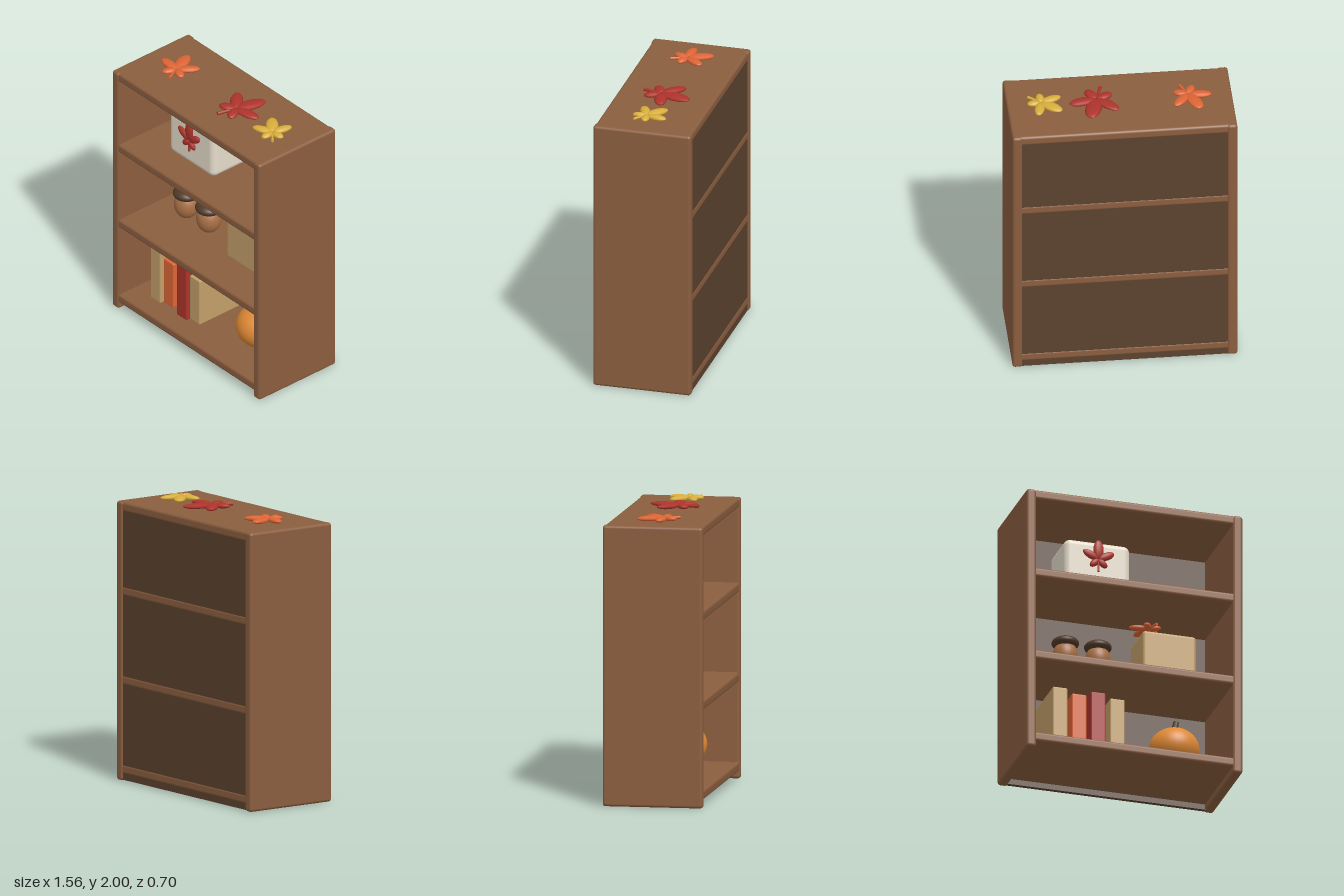
import * as THREE from 'three';
import { RoundedBoxGeometry } from 'three/addons/geometries/RoundedBoxGeometry.js';

const mat = (name, color) => {
  const m = new THREE.MeshStandardMaterial({ color });
  m.name = name;
  return m;
};

export function createModel() {
  const wood = mat('wood', 0x8b5e3f);
  const backWood = mat('dark back wood', 0x5c432f);
  const cream = mat('cream', 0xe6ddcb);
  const red = mat('leaf red', 0xad342c);
  const orange = mat('leaf orange', 0xdd6535);
  const gold = mat('leaf gold', 0xd9ae3c);
  const tan = mat('tan', 0xc4a06a);
  const pumpkinOrange = mat('pumpkin orange', 0xe08a35);
  const nutBrown = mat('acorn brown', 0xa87046);
  const darkBrown = mat('cap brown', 0x4f3a2a);

  const model = new THREE.Group();
  model.name = 'autumnBookcase';

  const add = (parent, name, geometry, material, x = 0, y = 0, z = 0) => {
    const mesh = new THREE.Mesh(geometry, material);
    mesh.name = name;
    mesh.position.set(x, y, z);
    parent.add(mesh);
    return mesh;
  };

  // Rounded box given by its limits on each axis
  const block = (name, material, [x0, x1], [y0, y1], [z0, z1], r) =>
    add(model, name, new RoundedBoxGeometry(x1 - x0, y1 - y0, z1 - z0, 4, r), material,
      (x0 + x1) / 2, (y0 + y1) / 2, (z0 + z1) / 2);

  const ellipsoid = (parent, name, material, [rx, ry, rz], [x, y, z], w = 28, h = 18) => {
    const mesh = add(parent, name, new THREE.SphereGeometry(1, w, h), material, x, y, z);
    mesh.scale.set(rx, ry, rz);
    return mesh;
  };

  // Cabinet: sides, back panel and four shelves
  for (const s of [-1, 1]) {
    block(s < 0 ? 'rightSide' : 'leftSide', wood,
      [s * 0.745 - 0.035, s * 0.745 + 0.035], [0.003, 1.96], [-0.35, 0.35], 0.02);
  }
  add(model, 'backPanel', new THREE.BoxGeometry(1.46, 1.93, 0.03), backWood, 0, 0.975, -0.325);
  for (const y of [0.05, 0.675, 1.3, 1.89]) {
    block('shelf', wood, [-0.745, 0.745], [y, y + 0.07], [-0.343, 0.343], 0.02);
  }

  // Leaf: five flattened leaflets and a stem, lying in the xy plane with its tip at +y
  const leaflets = [
    [0, 0.226, 0.057],
    [62, 0.195, 0.045], [-62, 0.195, 0.045],
    [133, 0.125, 0.038], [-133, 0.125, 0.038],
  ];
  const leaf = (name, material, size, turn, position, flat) => {
    const group = new THREE.Group();
    group.name = name;
    for (const [degrees, length, halfWidth] of leaflets) {
      const a = THREE.MathUtils.degToRad(degrees);
      const l = length * size;
      const petal = ellipsoid(group, 'leaflet', material, [halfWidth * size, l / 2, 0.019],
        [-Math.sin(a) * l / 2, Math.cos(a) * l / 2, 0], 10, 8);
      petal.rotation.z = a;
    }
    add(group, 'leafStem', new THREE.CylinderGeometry(0.009 * size, 0.013 * size, 0.14 * size, 8),
      material, 0, -0.07 * size, 0);
    group.rotation.set(flat ? -Math.PI / 2 : 0, 0, THREE.MathUtils.degToRad(turn));
    group.position.set(...position);
    model.add(group);
  };

  // Leaves on top of the cabinet
  leaf('orangeTopLeaf', orange, 0.84, 24, [-0.473, 1.98, 0.025], true);
  leaf('redTopLeaf', red, 1, -16, [0.16, 1.98, 0.03], true);
  leaf('goldTopLeaf', gold, 0.78, 50, [0.545, 1.98, 0.03], true);

  // Top compartment: cream box with a leaf on its front
  block('creamBox', cream, [-0.435, 0.037], [1.37, 1.73], [-0.23, 0.13], 0.045);
  leaf('redBoxLeaf', red, 0.65, 0, [-0.2, 1.585, 0.145], false);

  // Middle compartment: two acorns, and a tan box with a leaf above it
  for (const x of [-0.395, -0.16]) {
    ellipsoid(model, 'acornNut', nutBrown, [0.088, 0.106, 0.088], [x, 0.89, 0]);
    ellipsoid(model, 'acornCap', darkBrown, [0.096, 0.046, 0.096], [x, 0.983, 0]);
  }
  block('tanBox', tan, [0.137, 0.522], [0.77, 1.118], [-0.2, 0.1], 0.022);
  leaf('orangeBoxLeaf', orange, 0.7, 20, [0.205, 1.18, 0], true);

  // Bottom compartment: four books
  [tan, orange, red, tan].forEach((material, i) => {
    const x = -0.493 + i * 0.138;
    const h = i % 2 ? 0.182 : 0.215;
    block('book', material, [x - 0.053, x + 0.053], [0.335 - h, 0.335 + h], [-0.27, 0.2], 0.01);
  });

  // Pumpkin with a tilted stem
  ellipsoid(model, 'pumpkin', pumpkinOrange, [0.176, 0.153, 0.176], [0.39, 0.282, 0], 32, 24);
  const stem = add(model, 'pumpkinStem', new THREE.CylinderGeometry(0.02, 0.025, 0.1, 12),
    darkBrown, 0.396, 0.445, 0);
  stem.rotation.z = -0.18;

  return model;
}
